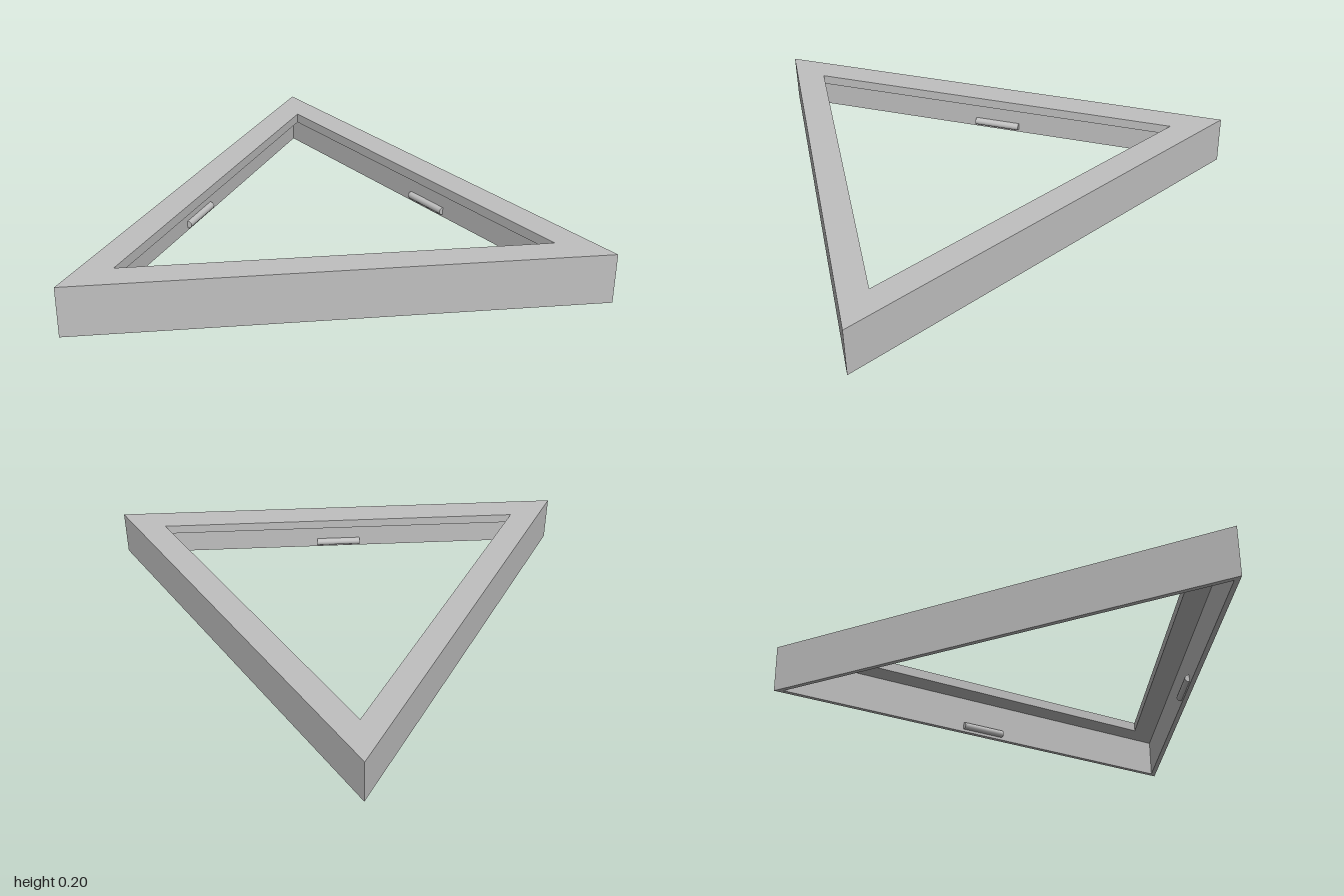
import * as THREE from 'three';

const INRADIUS = 1 / Math.sqrt(3);          // equilateral triangle with side 2
const HEIGHT = 0.2, LIP = 0.04, WALL = 0.02, LIP_WIDTH = 0.115;

// Corners of the triangle moved inwards by a given distance, about its centroid
function corners(inset) {
  const r = 2 * (INRADIUS - inset);
  return [90, 210, 330].map((deg) => {
    const a = THREE.MathUtils.degToRad(deg);
    return new THREE.Vector2(r * Math.cos(a), r * Math.sin(a));
  });
}

// Upright triangular ring of a given width, from y0 to y1
function triangleRing(width, y0, y1) {
  const shape = new THREE.Shape(corners(0));
  shape.holes.push(new THREE.Path(corners(width).reverse()));
  return new THREE.ExtrudeGeometry(shape, { depth: y1 - y0, bevelEnabled: false })
    .rotateX(-Math.PI / 2)
    .translate(0, y0, 0);
}

export function createModel() {
  const grey = new THREE.MeshStandardMaterial({ color: 0xc0c0c0 });
  grey.name = 'plain grey';

  const model = new THREE.Group();
  model.name = 'triangularFrame';
  const body = new THREE.Group();
  body.name = 'frameBody';
  body.position.z = Math.sqrt(3) / 2 - INRADIUS;   // centre the bounding box
  model.add(body);

  const add = (name, geometry, parent = body) => {
    const mesh = new THREE.Mesh(geometry, grey);
    mesh.name = name;
    parent.add(mesh);
    return mesh;
  };

  // Thin outer skirt and the wide lip on top of it
  add('outerWall', triangleRing(WALL, 0, HEIGHT - LIP));
  add('topLip', triangleRing(LIP_WIDTH, HEIGHT - LIP, HEIGHT));

  // Small snap ridge low on the inside of each wall
  const ridge = new THREE.CylinderGeometry(0.016, 0.016, 0.2, 12).rotateZ(Math.PI / 2);
  ['front', 'left', 'right'].forEach((side, i) => {
    const holder = new THREE.Group();
    holder.name = side + 'RidgeHolder';
    holder.rotation.y = (i * 2 * Math.PI) / 3;
    add(side + 'SnapRidge', ridge, holder).position.set(0, 0.027, INRADIUS - WALL - 0.003);
    body.add(holder);
  });

  return model;
}
